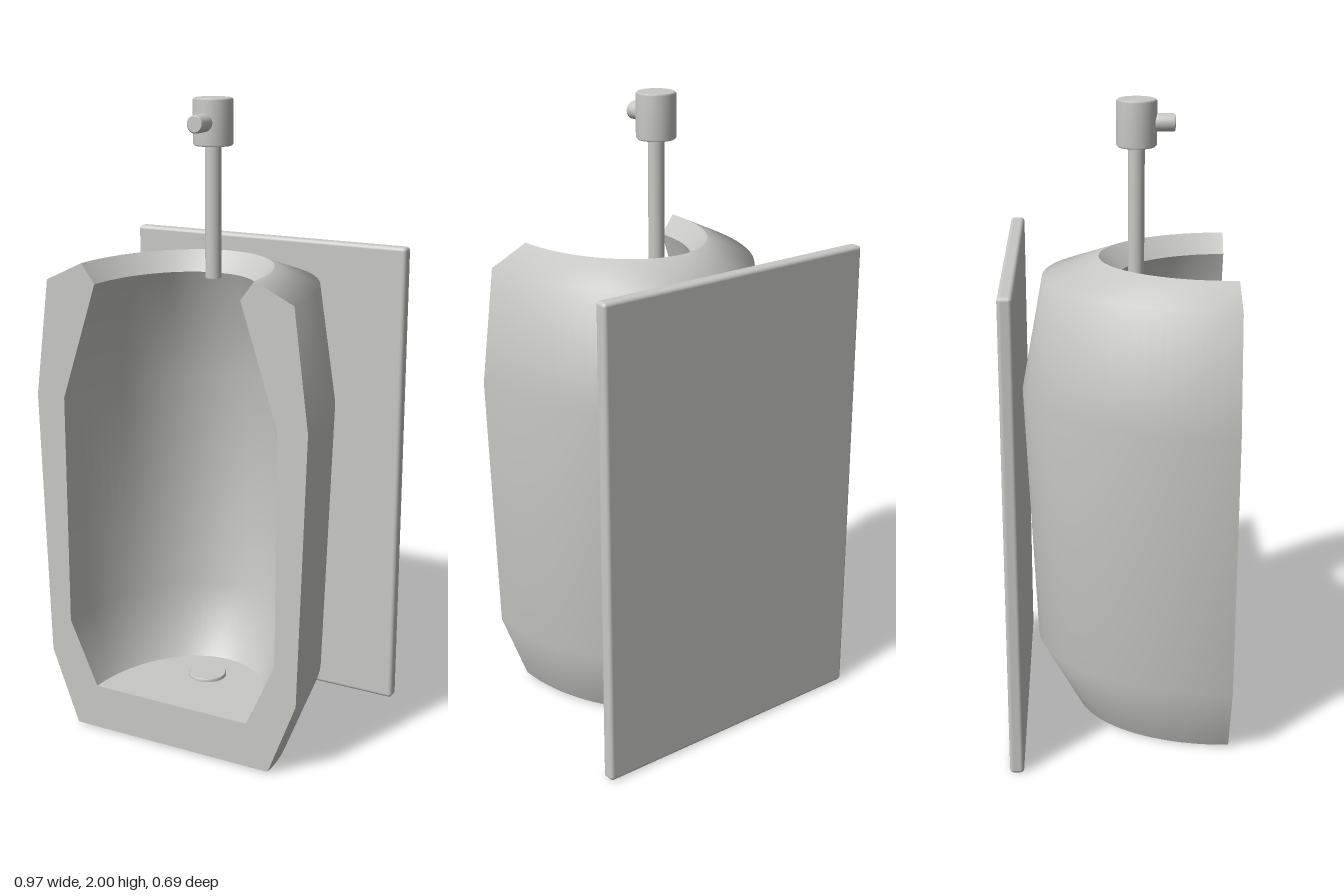
import * as THREE from 'three';
import { RoundedBoxGeometry } from 'three/addons/geometries/RoundedBoxGeometry.js';

const FRONT_Z = 0.345;
const DEPTH_RATIO = 1.393; // bowl depth over half width

// Half profiles as [half width, height]
const OUTER = [[0.345, 0.005], [0.437, 0.245], [0.463, 1.1], [0.415, 1.465], [0.29, 1.525]];
const RIM = [[0.29, 1.525], [0.245, 1.465]];
const INNER = [[0.245, 1.465], [0.365, 1.1], [0.365, 0.36], [0.27, 0.15]];

const vectors = (points) => points.map(([x, y]) => new THREE.Vector2(x, y));

export function createModel() {
  const model = new THREE.Group();
  model.name = 'urinal';
  const porcelain = new THREE.MeshStandardMaterial({ color: 0xc8c8c5 });
  porcelain.name = 'porcelain grey';

  function add(name, geometry, parent = model, x = 0, y = 0, z = 0) {
    const mesh = new THREE.Mesh(geometry, porcelain);
    mesh.name = name;
    mesh.position.set(x, y, z);
    parent.add(mesh);
    return mesh;
  }

  // Rear half of a lathe, stretched into a half ellipse
  function halfLathe(points) {
    const geometry = new THREE.LatheGeometry(vectors(points), 48, Math.PI / 2, Math.PI);
    return geometry.scale(1, 1, DEPTH_RATIO);
  }

  // Solid cylinder with a small chamfer at both ends
  function chamferedCylinder(radius, height, chamfer) {
    const r = radius - chamfer;
    const h = height / 2;
    const group = new THREE.Group();
    const sections = {
      bottom: [[0, -h], [r, -h]],
      side: [[r, -h], [radius, chamfer - h], [radius, h - chamfer], [r, h]],
      top: [[r, h], [0, h]],
    };
    for (const [name, points] of Object.entries(sections)) {
      add(name, new THREE.LatheGeometry(vectors(points), 32), group);
    }
    return group;
  }

  function addCylinder(name, radius, height, chamfer, y, z) {
    const part = chamferedCylinder(radius, height, chamfer);
    part.name = name;
    part.position.set(0, y, z);
    model.add(part);
    return part;
  }

  // Bowl: separate surfaces keep the rim, floor and base edges sharp
  const bowl = new THREE.Group();
  bowl.name = 'bowl';
  bowl.position.z = FRONT_Z;
  model.add(bowl);
  add('outerShell', halfLathe(OUTER), bowl);
  add('rim', halfLathe(RIM), bowl);
  add('innerShell', halfLathe(INNER), bowl);
  add('bowlFloor', halfLathe([[0.27, 0.15], [0, 0.15]]), bowl);
  add('base', halfLathe([[0, 0.005], [0.345, 0.005]]), bowl);

  // Flat U-shaped front edge
  const side = [...OUTER, ...INNER];
  const mirrored = side.map(([x, y]) => [-x, y]).reverse();
  add('frontEdge', new THREE.ShapeGeometry(new THREE.Shape(vectors([...side, ...mirrored]))), bowl);

  // Drain cover
  addCylinder('drain', 0.061, 0.02, 0.003, 0.15, 0.1);

  // Wall panel behind the bowl
  add('wallPanel', new RoundedBoxGeometry(0.97, 1.535, 0.044, 2, 0.012), model, 0, 0.7675, -0.324);

  // Flush pipe, valve head and push button
  add('flushPipe', new THREE.CylinderGeometry(0.025, 0.025, 0.41, 24), model, 0, 1.665, 0.055);
  addCylinder('valveHead', 0.061, 0.14, 0.005, 1.93, 0.055);
  const button = addCylinder('pushButton', 0.027, 0.07, 0.004, 1.93, 0.135);
  button.rotation.x = Math.PI / 2;

  return model;
}
